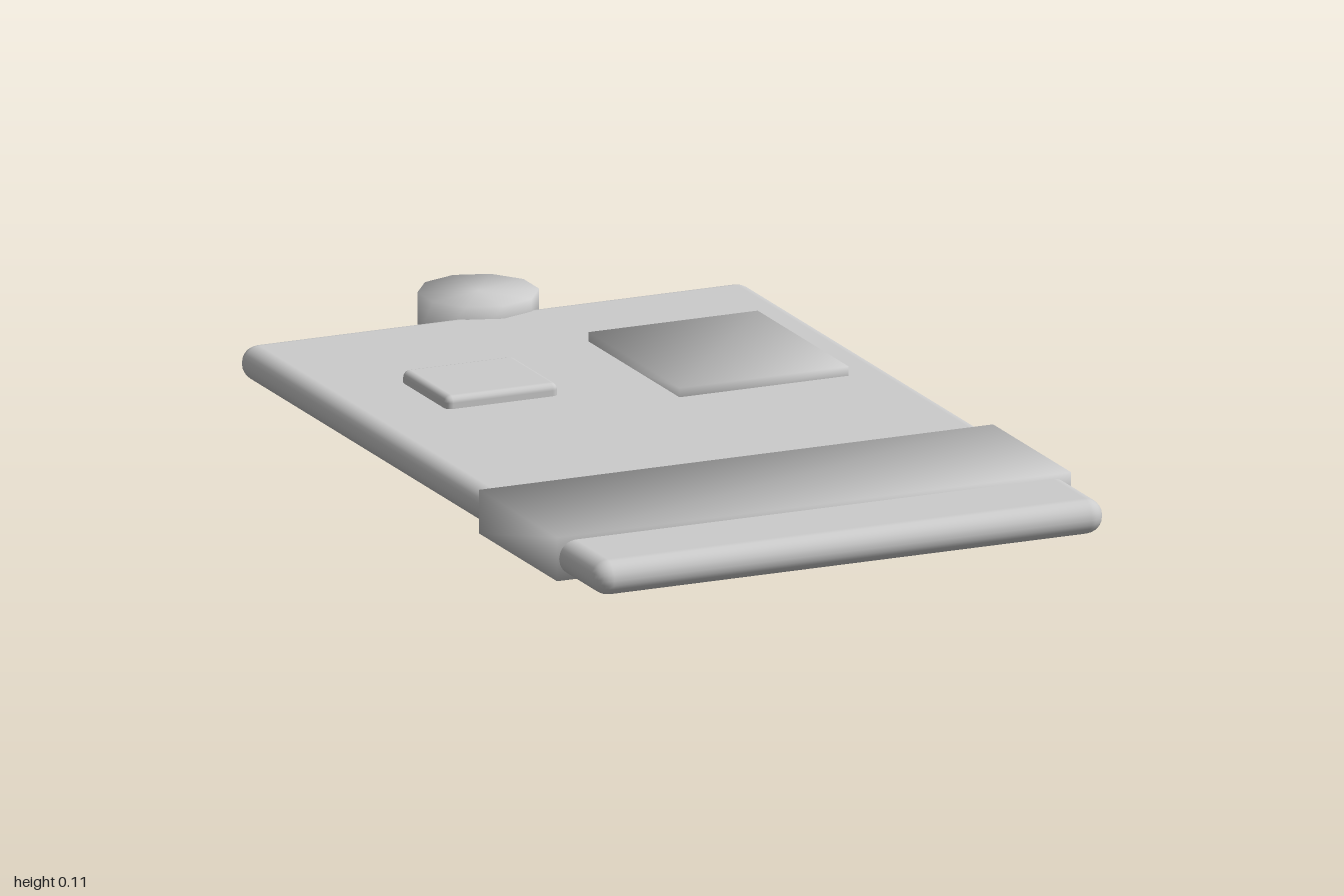
import * as THREE from 'three';
import { mergeVertices } from 'three/addons/utils/BufferGeometryUtils.js';
import { RoundedBoxGeometry } from 'three/addons/geometries/RoundedBoxGeometry.js';

// Shares corner vertices and gives each a blended outward normal
function soften(geometry, normalAt) {
  geometry.deleteAttribute('uv');
  geometry.deleteAttribute('normal');
  const merged = mergeVertices(geometry);
  const pos = merged.attributes.position;
  const normals = new Float32Array(pos.count * 3);
  const p = new THREE.Vector3();
  for (let i = 0; i < pos.count; i++) {
    p.fromBufferAttribute(pos, i);
    normalAt(p).normalize().toArray(normals, i * 3);
  }
  merged.setAttribute('normal', new THREE.BufferAttribute(normals, 3));
  return merged;
}

export function createModel() {
  const group = new THREE.Group();
  const grey = new THREE.MeshStandardMaterial({ color: 0xcccccc });
  grey.name = 'lightGrey';

  // Places a geometry by its minimum and maximum corners
  const add = (name, geometry, min, max) => {
    const mesh = new THREE.Mesh(geometry, grey);
    mesh.name = name;
    mesh.position.set(...min.map((v, i) => (v + max[i]) / 2));
    group.add(mesh);
  };
  const size = (min, max) => min.map((v, i) => max[i] - v);
  const roundedBox = (name, min, max, radius, segments) =>
    add(name, new RoundedBoxGeometry(...size(min, max), segments, radius), min, max);
  const softBox = (name, min, max) => {
    const corner = (p) => new THREE.Vector3(Math.sign(p.x), Math.sign(p.y), Math.sign(p.z));
    add(name, soften(new THREE.BoxGeometry(...size(min, max)), corner), min, max);
  };

  // Slab with rounded edges
  roundedBox('body', [-0.58, 0.01, -0.81], [0.58, 0.085, 1], 0.037, 3);

  // Strap wrapped round the front end
  softBox('band', [-0.585, 0, 0.415], [0.585, 0.094, 0.805]);

  // Raised details on the top face
  softBox('panel', [0.09, 0.06, -0.52], [0.475, 0.105, -0.065]);
  roundedBox('button', [-0.387, 0.06, -0.41], [-0.131, 0.112, -0.18], 0.015, 2);

  // Ten-sided knob at the back edge
  const rim = (p) => new THREE.Vector3(p.x, 0, p.z).normalize().setY(Math.sign(p.y));
  add('knob', soften(new THREE.CylinderGeometry(0.127, 0.127, 0.1, 10), rim),
    [-0.127, 0.012, -1], [0.127, 0.112, -0.746]);

  return group;
}
